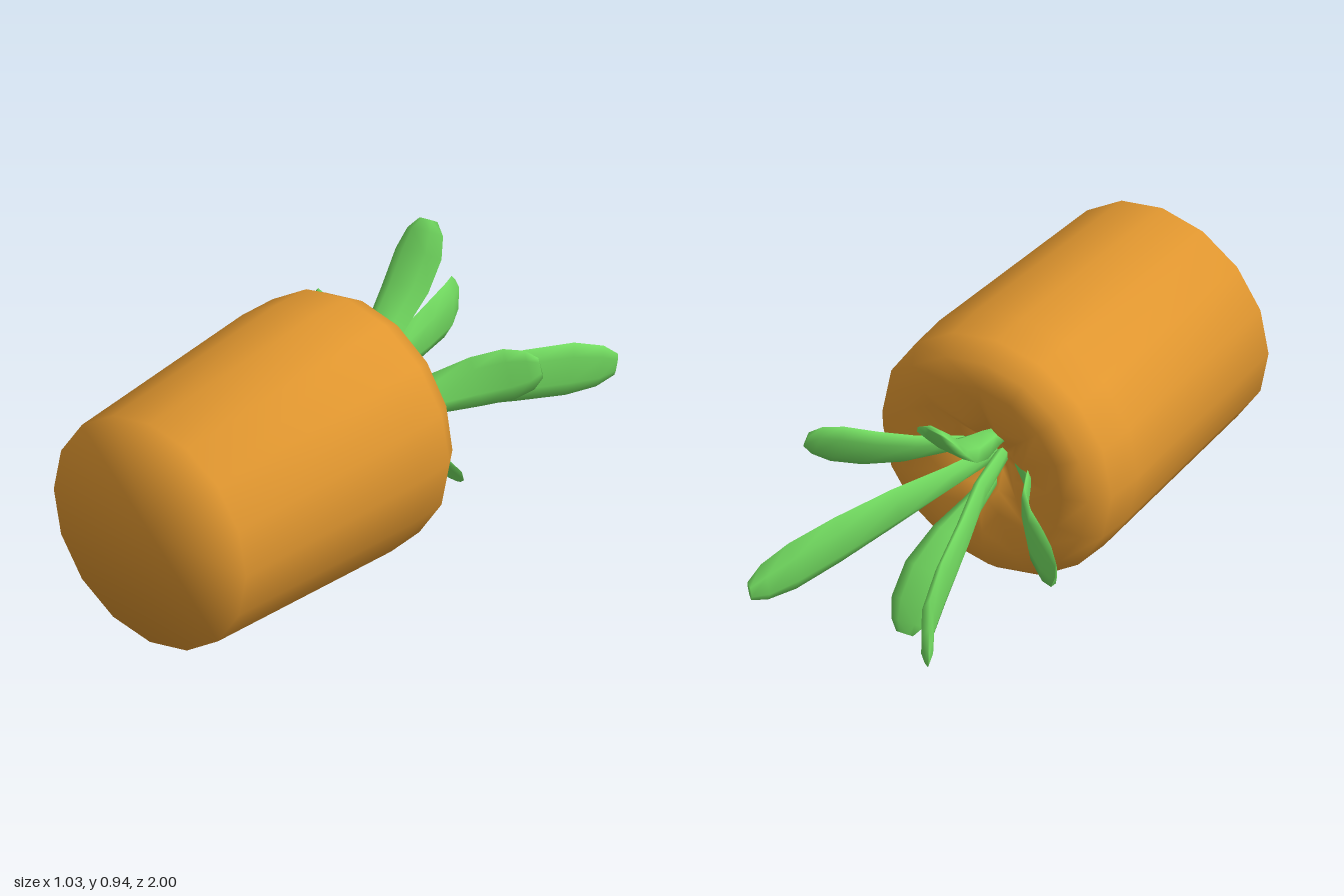
import * as THREE from 'three';
import { mergeVertices } from 'three/addons/utils/BufferGeometryUtils.js';

const orange = new THREE.MeshStandardMaterial({ color: 0xe0962f });
orange.name = 'carrotOrange';
const green = new THREE.MeshStandardMaterial({ color: 0x72db60 });
green.name = 'leafGreen';

const CX = 0.04, CY = 0.475;

// Stub of a root lying along z: flat cut at the front, dimpled crown at the back
function rootGeometry() {
  const profile = [
    [0, 0.02], [0.06, 0.0], [0.14, -0.055], [0.23, -0.098], [0.33, -0.1],
    [0.415, -0.07], [0.463, 0], [0.47, 0.15], [0.43, 1], [0, 1],
  ].map(([r, y]) => new THREE.Vector2(r, y));
  const sides = 16;
  let geo = new THREE.LatheGeometry(profile, sides);
  const pos = geo.attributes.position;
  for (let i = 0; i < pos.count; i++) {
    const ring = i % profile.length;
    const spoke = Math.floor(i / profile.length) % sides;
    // Star-shaped creases round the dimple
    if (ring === 2 || ring === 3) {
      const k = spoke % 2 ? 0.78 : 1.15;
      pos.setX(i, pos.getX(i) * k);
      pos.setZ(i, pos.getZ(i) * k);
    }
    // Crown leans slightly: upper rim sits further back (lathe -z becomes up)
    if (ring >= 3 && ring <= 5) pos.setY(i, pos.getY(i) + pos.getZ(i) * 0.03);
  }
  geo.rotateX(Math.PI / 2);
  geo.deleteAttribute('normal');
  geo.deleteAttribute('uv');
  geo = mergeVertices(geo, 1e-4);
  geo.computeVertexNormals();
  return geo;
}

// Leaf lofted along a curve with a lens section; side gives the width direction
function leafGeometry(path, side, width, thick, cup) {
  const curve = new THREE.CatmullRomCurve3(path.map((p) => new THREE.Vector3(...p)));
  const stations = [[0, 0.3], [0.2, 0.5], [0.42, 0.78], [0.65, 0.97], [0.83, 1], [0.94, 0.78], [1, 0.4]];
  const section = [[1, 0], [0.5, 1], [-0.5, 1], [-1, 0], [-0.5, -1], [0.5, -1]];
  const n = section.length;
  const verts = [], index = [];
  for (const [t, w] of stations) {
    const c = curve.getPointAt(t), T = curve.getTangentAt(t);
    const S = new THREE.Vector3(...side);
    S.addScaledVector(T, -S.dot(T)).normalize();
    const N = new THREE.Vector3().crossVectors(T, S);
    for (const [u, v] of section) {
      const h = v * thick / 2 * (t === 1 ? 0.4 : 1) + cup * w * u * u;
      const p = c.clone().addScaledVector(S, u * w * width / 2).addScaledVector(N, h);
      verts.push(p.x, p.y, p.z);
    }
  }
  for (let s = 0; s < stations.length - 1; s++) {
    for (let i = 0; i < n; i++) {
      const a = s * n + i, b = s * n + (i + 1) % n;
      index.push(a, b, a + n, b, b + n, a + n);
    }
  }
  // End caps
  const last = (stations.length - 1) * n;
  for (let i = 1; i < n - 1; i++) {
    index.push(0, i + 1, i, last, last + i, last + i + 1);
  }
  const geo = new THREE.BufferGeometry();
  geo.setAttribute('position', new THREE.Float32BufferAttribute(verts, 3));
  geo.setIndex(index);
  geo.computeVertexNormals();
  return geo;
}

export function createModel() {
  const group = new THREE.Group();
  group.name = 'carrotStub';

  const root = new THREE.Mesh(rootGeometry(), orange);
  root.name = 'root';
  root.position.set(CX, CY, 0);
  group.add(root);

  const leaves = [
    { name: 'longLeafLeft', side: [0, 1, 0], width: 0.2, thick: 0.04, cup: 0.01,
      path: [[0.05, 0.48, 0], [0.08, 0.475, -0.15], [0.19, 0.44, -0.5], [0.3, 0.39, -0.82], [0.375, 0.355, -0.995]] },
    { name: 'longLeafRight', side: [0, 1, 0], width: 0.2, thick: 0.04, cup: -0.01,
      path: [[0.02, 0.48, 0], [-0.01, 0.475, -0.15], [-0.13, 0.44, -0.5], [-0.23, 0.39, -0.82], [-0.34, 0.355, -0.995]] },
    { name: 'shortLeafRight', side: [0, 1, 0], width: 0.215, thick: 0.018, cup: 0,
      path: [[-0.04, 0.485, 0], [-0.155, 0.485, -0.1], [-0.23, 0.48, -0.24], [-0.36, 0.475, -0.37], [-0.515, 0.475, -0.475]] },
    { name: 'shortLeafLeft', side: [-0.4, 0.9, 0], width: 0.18, thick: 0.03, cup: 0.01,
      path: [[0.1, 0.5, 0], [0.18, 0.515, -0.1], [0.25, 0.545, -0.24], [0.36, 0.585, -0.37], [0.495, 0.63, -0.475]] },
    { name: 'upperLeaf', side: [1, 0.1, 0], width: 0.2, thick: 0.035, cup: 0.012,
      path: [[0.02, 0.57, 0], [0, 0.62, -0.1], [-0.02, 0.67, -0.25], [-0.055, 0.78, -0.42], [-0.085, 0.94, -0.56]] },
    { name: 'lowerLeaf', side: [1, 0, 0], width: 0.165, thick: 0.018, cup: 0,
      path: [[0.04, 0.4, 0], [0.055, 0.345, -0.1], [0.075, 0.275, -0.25], [0.09, 0.17, -0.39], [0.08, 0.012, -0.5]] },
  ];
  for (const l of leaves) {
    const mesh = new THREE.Mesh(leafGeometry(l.path, l.side, l.width, l.thick, l.cup), green);
    mesh.name = l.name;
    group.add(mesh);
  }
  return group;
}
